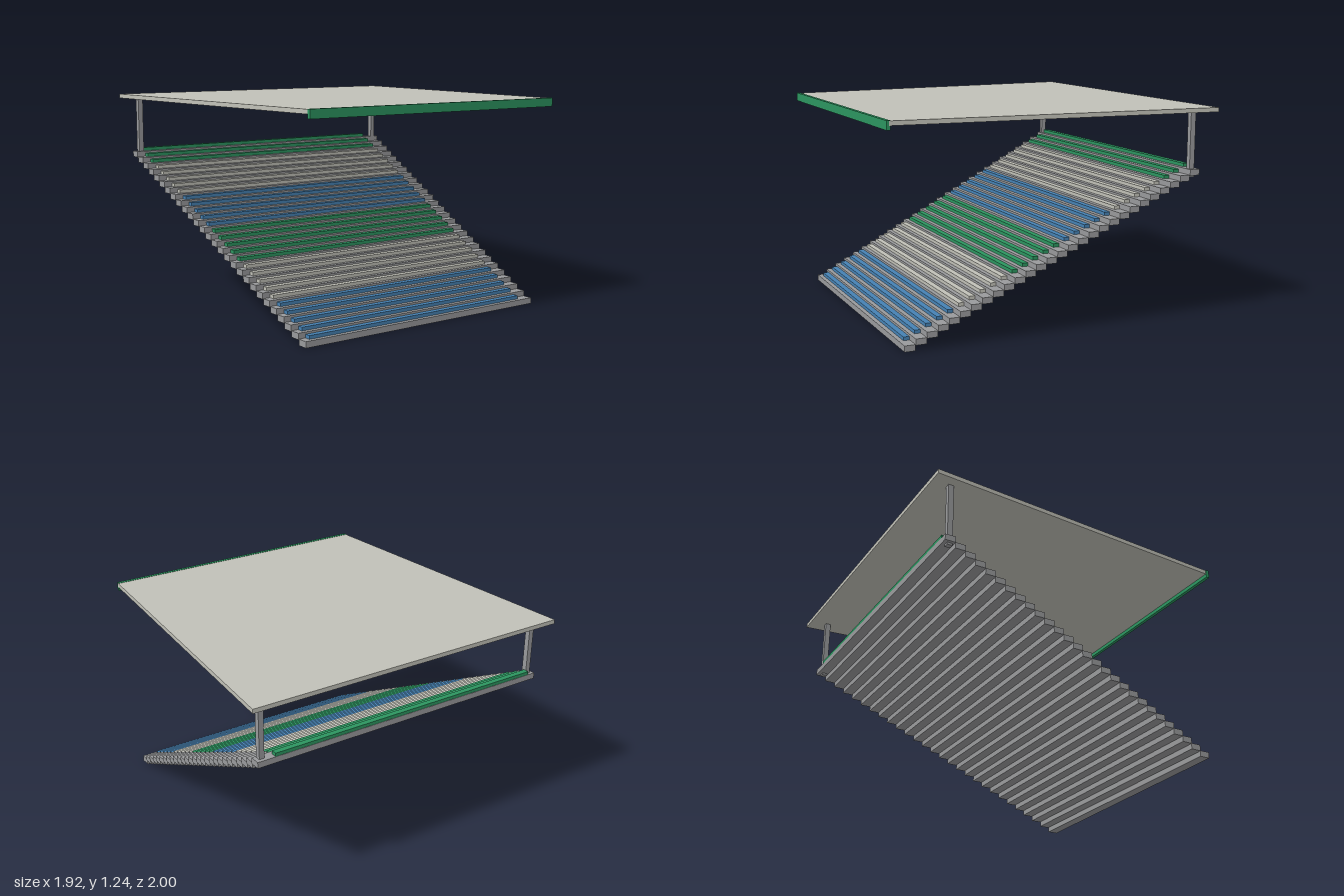
import * as THREE from 'three';

const mat = (name, color) => {
  const m = new THREE.MeshStandardMaterial({ color });
  m.name = name;
  return m;
};

// Upright prism over a plan outline of [x, z] points.
function prism(name, plan, y0, y1, material) {
  const shape = new THREE.Shape(plan.map(([x, z]) => new THREE.Vector2(x, -z)));
  const geometry = new THREE.ExtrudeGeometry(shape, { depth: y1 - y0, bevelEnabled: false });
  geometry.rotateX(-Math.PI / 2);
  const mesh = new THREE.Mesh(geometry, material);
  mesh.name = name;
  mesh.position.y = y0;
  return mesh;
}

// The whole stand is turned very slightly in plan.
const SKEW = -0.0065;
const bar = (x0, x1, z0, z1) => [
  [x0 + SKEW * z0, z0], [x1 + SKEW * z0, z0],
  [x1 + SKEW * z1, z1], [x0 + SKEW * z1, z1],
];

export function createModel() {
  const concrete = mat('concrete grey', 0x999a9c);
  const pale = mat('pale grey', 0xc1c1b8);
  const green = mat('green', 0x2c9560);
  const blue = mat('blue', 0x4682b4);

  const stand = new THREE.Group();
  stand.name = 'grandstand';

  // Stepped terrace with one bench per row, widening towards the top
  const rows = 28;
  const bands = [blue, pale, green, blue, pale, green];
  const steps = new THREE.Group();
  const seats = new THREE.Group();
  steps.name = 'terraceSteps';
  seats.name = 'seatRows';
  const lerp = THREE.MathUtils.lerp;
  for (let i = 0; i < rows; i++) {
    const t = i / (rows - 1);
    const front = lerp(0.86, -0.824, t);
    const y = 0.0314 * i;
    steps.add(prism('step', bar(front - 0.062, front, lerp(-0.793, -0.937, t), lerp(0.845, 0.948, t)),
      y, y + 0.035, concrete));
    seats.add(prism('seatRow', bar(front - 0.06, front - 0.026, lerp(-0.705, -0.83, t), lerp(0.805, 0.9, t)),
      y + 0.035, y + 0.055, bands[Math.floor(i / 5)]));
  }
  stand.add(steps, seats);

  // Columns at the two rear corners
  for (const z of [-0.9, 0.915]) {
    stand.add(prism('column', bar(-0.865, -0.833, z - 0.015, z + 0.015), 0.835, 1.212, concrete));
  }

  // Tapered roof slab and its front fascia
  stand.add(prism('roof', [[-0.953, -1], [0.945, -0.832], [0.933, 0.874], [-0.965, 0.995]], 1.211, 1.236, pale));
  stand.add(prism('fascia', bar(0.932, 0.953, -0.83, 0.877), 1.188, 1.238, green));
  return stand;
}
